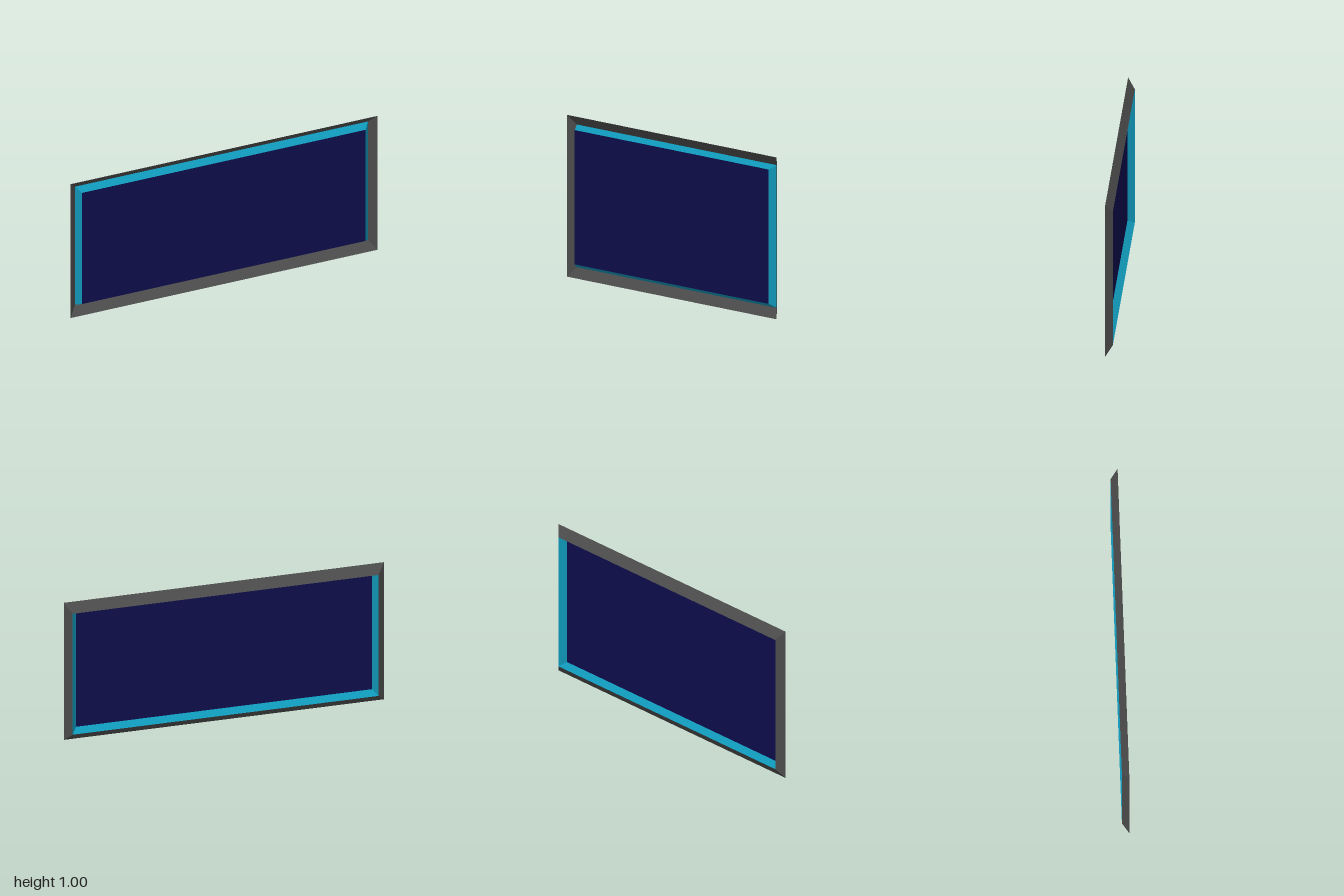
import * as THREE from 'three';

const mat = (name, color) => {
  const m = new THREE.MeshStandardMaterial({ color, side: THREE.DoubleSide, flatShading: true });
  m.name = name;
  return m;
};

// Rectangle corners, counter-clockwise seen from +z; hx, hy are half sizes about y = 0.5
const corners = ({ hx, hy, z }) =>
  [[-1, -1], [1, -1], [1, 1], [-1, 1]].map(([sx, sy]) => [sx * hx, 0.5 + sy * hy, z]);

// Four sloped faces joining an outer rectangle to an inner one
function slopedRing(outer, inner) {
  const a = corners(outer), b = corners(inner), pos = [];
  for (let i = 0; i < 4; i++) {
    const j = (i + 1) % 4;
    pos.push(...a[i], ...a[j], ...b[j], ...a[i], ...b[j], ...b[i]);
  }
  const g = new THREE.BufferGeometry();
  g.setAttribute('position', new THREE.Float32BufferAttribute(pos, 3));
  g.computeVertexNormals();
  return g;
}

export function createModel() {
  const group = new THREE.Group();
  const add = (name, geometry, material) => {
    const mesh = new THREE.Mesh(geometry, material);
    mesh.name = name;
    group.add(mesh);
    return mesh;
  };

  const rim = { hx: 1, hy: 0.5, z: 0.022 };
  const valley = { hx: 0.956, hy: 0.441, z: -0.022 };
  const pane = { hx: 0.925, hy: 0.415, z: 0.021 };

  // Outer frame slopes back from the rim, the trim rises forward to the panel
  add('outerFrame', slopedRing(rim, valley), mat('dark grey', 0x4b4b4b));
  add('innerTrim', slopedRing(valley, pane), mat('teal', 0x1096b6));

  // Flat screen panel
  const panel = add('panel', new THREE.PlaneGeometry(2 * pane.hx, 2 * pane.hy), mat('navy', 0x0d0d4b));
  panel.position.set(0, 0.5, pane.z);

  return group;
}
